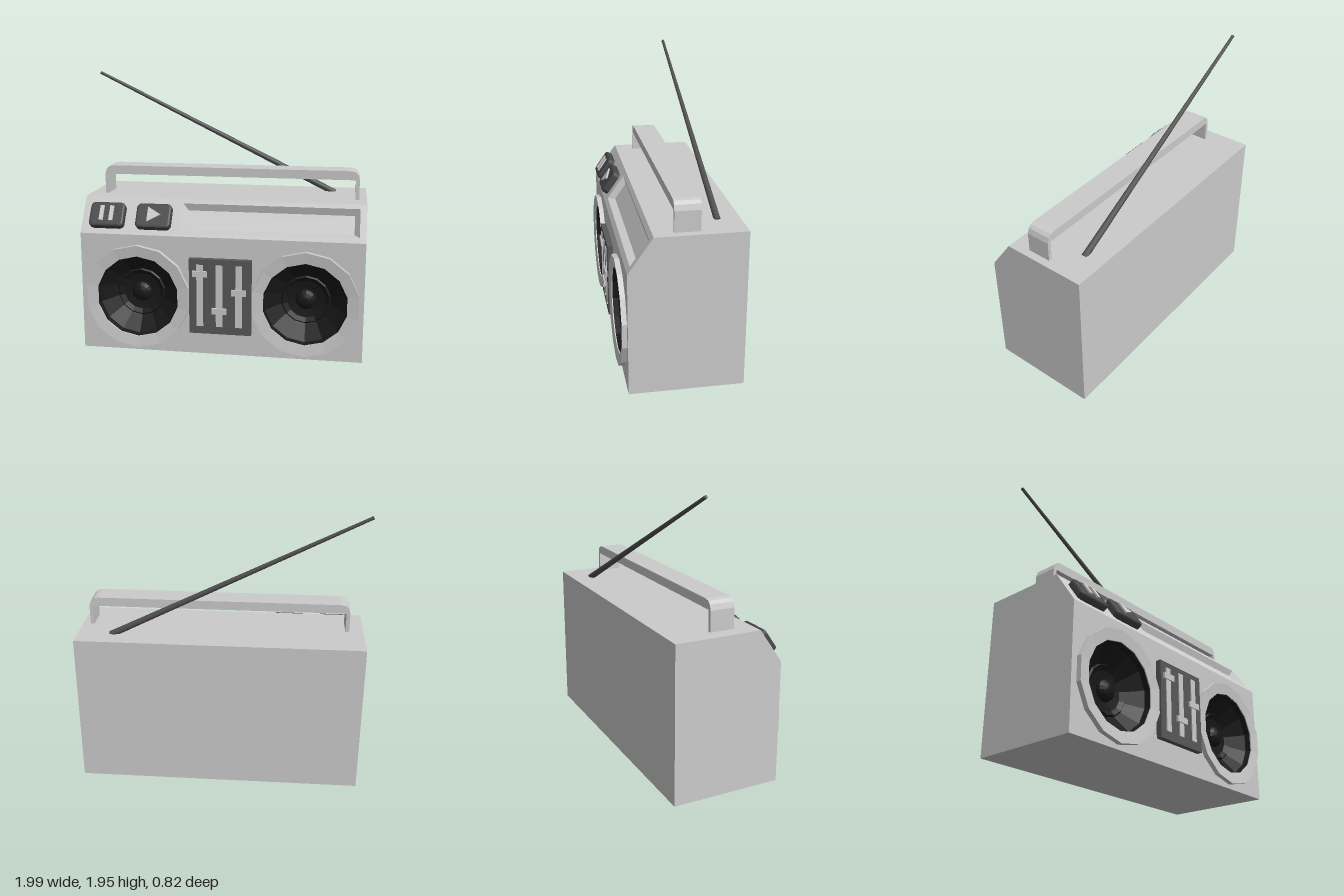
import * as THREE from 'three';

const mat = (color, flat = true) =>
  new THREE.MeshStandardMaterial({ color, flatShading: flat, side: THREE.DoubleSide });
const grey = mat(0xcccccc);
const white = mat(0xffffff);
const dark = mat(0x585858);
const darker = mat(0x484848);
const black = mat(0x181818);

const W = 0.995;                   // half width of the case
const FRONT = 0.355, BACK = -0.41; // case depth
const SLOPE_Y = 0.85, TOP_Y = 1.085, SLOPE_Z = 0.19;
const SPEAKERS = [-0.585, 0.595];
const SPEAKER_Y = 0.405;

function add(parent, name, geometry, material, x = 0, y = 0, z = 0) {
  const mesh = new THREE.Mesh(geometry, material);
  mesh.name = name;
  mesh.position.set(x, y, z);
  parent.add(mesh);
  return mesh;
}

const poly = (pts) => new THREE.Shape(pts.map(([x, y]) => new THREE.Vector2(x, y)));
const rect = (x0, y0, x1, y1) => poly([[x0, y0], [x1, y0], [x1, y1], [x0, y1]]);

// Four-cornered faces, corners counter-clockwise
function quads(list) {
  const pos = [];
  for (const [a, b, c, d] of list) pos.push(...a, ...b, ...c, ...a, ...c, ...d);
  const g = new THREE.BufferGeometry();
  g.setAttribute('position', new THREE.Float32BufferAttribute(pos, 3));
  g.computeVertexNormals();
  return g;
}

function roundedRect(w, h, r) {
  const s = new THREE.Shape();
  const x = w / 2, y = h / 2, q = Math.PI / 2;
  s.absarc(x - r, y - r, r, 0, q);
  s.absarc(-x + r, y - r, r, q, 2 * q);
  s.absarc(-x + r, -y + r, r, 2 * q, 3 * q);
  s.absarc(x - r, -y + r, r, 3 * q, 4 * q);
  return s;
}

function buildCase(root) {
  const body = new THREE.Group();
  body.name = 'case';
  root.add(body);

  // Front with two speaker openings
  const front = rect(-W, 0, W, SLOPE_Y);
  for (const cx of SPEAKERS) {
    const hole = [];
    for (let i = 0; i < 14; i++) {
      const a = (i / 14) * Math.PI * 2;
      hole.push([cx + 0.33 * Math.sin(a), SPEAKER_Y + 0.33 * Math.cos(a)]);
    }
    front.holes.push(poly(hole));
  }
  add(body, 'frontPanel', new THREE.ShapeGeometry(front), grey, 0, 0, FRONT);

  // Side walls
  const side = poly([[-FRONT, 0], [-BACK, 0], [-BACK, TOP_Y], [-SLOPE_Z, TOP_Y], [-FRONT, SLOPE_Y]]);
  for (const s of [-1, 1]) {
    const g = new THREE.ShapeGeometry(side).rotateY(Math.PI / 2);
    add(body, s < 0 ? 'rightWall' : 'leftWall', g, grey, s * W);
  }

  // Top, back and underside
  add(body, 'shell', quads([
    [[-W, TOP_Y, SLOPE_Z], [W, TOP_Y, SLOPE_Z], [W, TOP_Y, BACK], [-W, TOP_Y, BACK]],
    [[W, 0, BACK], [-W, 0, BACK], [-W, TOP_Y, BACK], [W, TOP_Y, BACK]],
    [[-W, 0, BACK], [W, 0, BACK], [W, 0, FRONT], [-W, 0, FRONT]],
  ]), grey);
}

function buildControls(root) {
  // Local y runs up the sloping face, local z points out of it
  const slope = new THREE.Group();
  slope.name = 'controlSlope';
  slope.position.set(0, SLOPE_Y, FRONT);
  slope.rotation.x = -Math.atan2(FRONT - SLOPE_Z, TOP_Y - SLOPE_Y);
  root.add(slope);

  const length = Math.hypot(FRONT - SLOPE_Z, TOP_Y - SLOPE_Y);
  const [x0, x1, y0, y1, inset, depth] = [-0.28, 0.95, 0.04, 0.25, 0.035, 0.04];
  const face = rect(-W, 0, W, length);
  face.holes.push(rect(x0, y0, x1, y1));
  add(slope, 'slopePanel', new THREE.ShapeGeometry(face), grey);

  // Sunken display with sloping walls
  const rim = [[x0, y0, 0], [x1, y0, 0], [x1, y1, 0], [x0, y1, 0]];
  const floor = [[x0 + inset, y0 + inset, -depth], [x1 - inset, y0 + inset, -depth],
    [x1 - inset, y1 - inset, -depth], [x0 + inset, y1 - inset, -depth]];
  const faces = [floor];
  for (let i = 0; i < 4; i++) {
    const j = (i + 1) % 4;
    faces.push([rim[i], rim[j], floor[j], floor[i]]);
  }
  add(slope, 'displayRecess', quads(faces), grey);

  // Push buttons
  const bevel = 0.015;
  const button = new THREE.ExtrudeGeometry(roundedRect(0.22, 0.155, 0.02), {
    depth: 0.035, bevelThickness: bevel, bevelSize: bevel, bevelSegments: 2, curveSegments: 3,
  });
  add(slope, 'pauseButton', button, darker, -0.81, 0.133, 0);
  add(slope, 'playButton', button, darker, -0.475, 0.133, 0);
  for (const x of [-0.845, -0.775])
    add(slope, 'pauseBar', new THREE.BoxGeometry(0.028, 0.112, 0.02), grey, x, 0.136, 0.052);
  const triangle = poly([[-0.515, 0.08], [-0.42, 0.136], [-0.515, 0.192]]);
  add(slope, 'playTriangle',
    new THREE.ExtrudeGeometry(triangle, { depth: 0.02, bevelEnabled: false }), grey, 0, 0, 0.042);
}

function buildSpeaker(root, x) {
  const speaker = new THREE.Group();
  speaker.name = 'speaker';
  speaker.position.set(x, SPEAKER_Y, FRONT);
  root.add(speaker);
  const lathe = (pts, n) =>
    new THREE.LatheGeometry(pts.map(([r, z]) => new THREE.Vector2(r, z)), n).rotateX(Math.PI / 2);
  add(speaker, 'speakerRing', lathe([[0.375, 0], [0.375, 0.035], [0.295, 0.025], [0.295, -0.01]], 14), white);
  add(speaker, 'speakerCone', lathe([[0.294, 0.018], [0.285, -0.02], [0.175, -0.1], [0.165, -0.09],
    [0.135, -0.11], [0.075, -0.12]], 14), black);
  add(speaker, 'dustCap', lathe([[0.075, -0.12], [0.07, -0.095], [0.05, -0.075], [0.025, -0.065],
    [0, -0.062]], 14), black);
}

function buildSliders(root) {
  const panel = new THREE.Group();
  panel.name = 'sliderPanel';
  root.add(panel);
  add(panel, 'panelPlate', new THREE.BoxGeometry(0.435, 0.54, 0.04), dark, 0.008, 0.435, FRONT + 0.02);
  [[-0.133, 0.6], [0.003, 0.335], [0.14, 0.475]].forEach(([x, y]) => {
    add(panel, 'sliderTrack', new THREE.BoxGeometry(0.046, 0.445, 0.01), white, x, 0.443, 0.396);
    add(panel, 'sliderKnob', new THREE.BoxGeometry(0.104, 0.042, 0.02), white, x, y, 0.4);
  });
}

function buildHandle(root) {
  // Flat strap with rounded upper corners, open underneath
  const h = 0.918, t = 0.026, top = 1.288, inner = 1.225, base = 1.08;
  const half = [[h, base], [h, 1.225], [h - 0.012, 1.262], [h - 0.032, 1.282], [h - 0.065, top]];
  const mirror = half.map(([x, y]) => [-x, y]).reverse();
  const strap = poly([...half, ...mirror, [-h + t, base], [-h + t, inner], [h - t, inner], [h - t, base]]);
  add(root, 'handle', new THREE.ExtrudeGeometry(strap, { depth: 0.17, bevelEnabled: false }),
    grey, 0.023, 0, -0.115);
}

function buildAntenna(root) {
  const from = new THREE.Vector3(0.765, 1.075, -0.26);
  const to = new THREE.Vector3(-0.99, 1.943, -0.215);
  const dir = to.clone().sub(from);
  const mid = from.clone().add(to).multiplyScalar(0.5);
  const rod = add(root, 'antenna', new THREE.CylinderGeometry(0.011, 0.023, dir.length(), 10),
    mat(0x505050, false), mid.x, mid.y, mid.z);
  rod.quaternion.setFromUnitVectors(new THREE.Vector3(0, 1, 0), dir.normalize());
}

export function createModel() {
  const root = new THREE.Group();
  root.name = 'portableStereo';
  buildCase(root);
  buildControls(root);
  SPEAKERS.forEach((x) => buildSpeaker(root, x));
  buildSliders(root);
  buildHandle(root);
  buildAntenna(root);
  return root;
}
